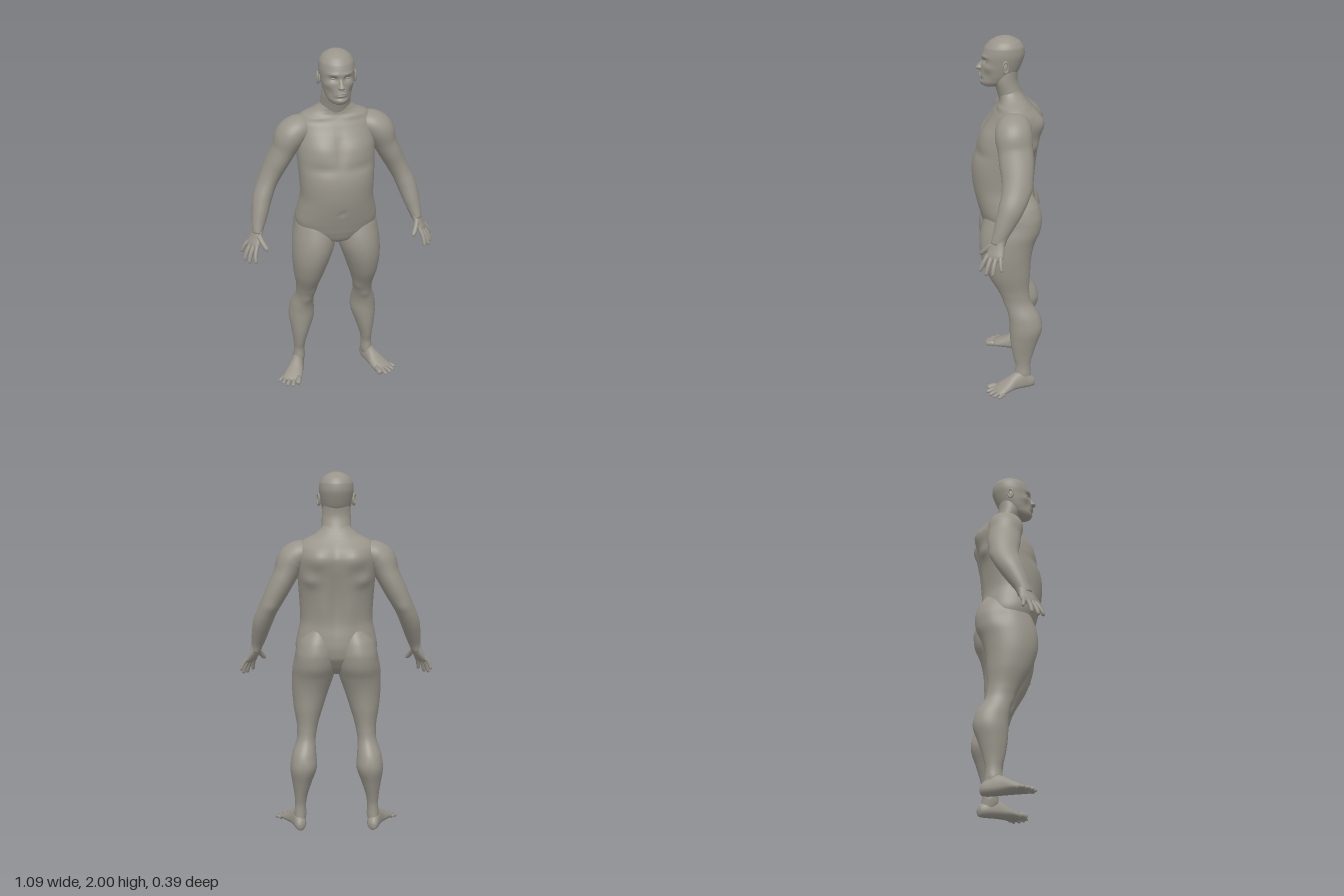
import * as THREE from 'three';

const V = (x, y, z) => new THREE.Vector3(x, y, z);
const UP = V(0, 1, 0), FRONT = V(0, 0, 1);

// Smooth skin through rings [x, y, z, half width, reach along ref, reach against ref].
// With axis set, all rings lie square to it; otherwise they follow the path.
function loft(rings, { axis = null, ref = FRONT, seg = 32, steps = 6, power = 1 } = {}) {
  const path = new THREE.CatmullRomCurve3(rings.map(r => V(r[0], r[1], r[2])));
  const size = new THREE.CatmullRomCurve3(rings.map(r => V(r[3], r[4], r[5] ?? r[4])));
  const rows = (rings.length - 1) * steps, pos = [], idx = [];
  const bend = v => Math.sign(v) * Math.abs(v) ** power;
  for (let j = 0; j <= rows; j++) {
    const c = path.getPoint(j / rows), r = size.getPoint(j / rows);
    const t = axis ? axis.clone().normalize() : path.getTangent(j / rows);
    const f = ref.clone().addScaledVector(t, -ref.dot(t)).normalize();
    const s = f.clone().cross(t);
    for (let i = 0; i < seg; i++) {
      const a = i / seg * Math.PI * 2, si = bend(Math.sin(a));
      const p = c.clone().addScaledVector(s, bend(Math.cos(a)) * r.x).addScaledVector(f, si * (si > 0 ? r.y : r.z));
      pos.push(p.x, p.y, p.z);
      if (j < rows) {
        const k = j * seg + i, n = j * seg + (i + 1) % seg;
        idx.push(k, n, n + seg, k, n + seg, k + seg);
      }
    }
  }
  // end caps
  const a = path.getPoint(0), b = path.getPoint(1), base = pos.length / 3, last = rows * seg;
  pos.push(a.x, a.y, a.z, b.x, b.y, b.z);
  for (let i = 0; i < seg; i++) {
    const n = (i + 1) % seg;
    idx.push(base, n, i, base + 1, last + i, last + n);
  }
  const g = new THREE.BufferGeometry();
  g.setAttribute('position', new THREE.Float32BufferAttribute(pos, 3));
  g.setIndex(idx);
  g.computeVertexNormals();
  return g;
}

// Rings given by height, half width, front z and back z
const upright = (rows, cx = () => 0) => rows.map(([y, rx, zf, zb, x]) => {
  const cz = (zf + zb) / 2;
  return [x ?? cx(y), y, cz, rx, zf - cz, cz - zb];
});

// Swell or hollow the skin along its normals: [x, y, z, rx, ry, rz, amount]
function sculpt(g, bumps, mirrored = true) {
  const p = g.attributes.position, n = g.attributes.normal;
  for (let i = 0; i < p.count; i++) {
    const x = mirrored ? Math.abs(p.getX(i)) : p.getX(i), y = p.getY(i), z = p.getZ(i);
    let d = 0;
    for (const [bx, by, bz, rx, ry, rz, amt] of bumps)
      d += amt * Math.exp(-(((x - bx) / rx) ** 2) - ((y - by) / ry) ** 2 - ((z - bz) / rz) ** 2);
    p.setXYZ(i, p.getX(i) + n.getX(i) * d, y + n.getY(i) * d, z + n.getZ(i) * d);
  }
  g.computeVertexNormals();
  return g;
}

function mirror(g) {
  const m = g.clone().scale(-1, 1, 1), ix = m.index;
  for (let i = 0; i < ix.count; i += 3) {
    const a = ix.getX(i);
    ix.setX(i, ix.getX(i + 1));
    ix.setX(i + 1, a);
  }
  m.computeVertexNormals();
  return m;
}

// Finger or toe with a rounded tip
function digit(a, b, r, lift) {
  const at = t => V(...a).lerp(V(...b), t).addScaledVector(lift, Math.sin(t * Math.PI));
  return loft([[0, 1], [0.35, 0.95], [0.65, 0.92], [0.88, 0.85], [0.97, 0.55], [1, 0.15]]
    .map(([t, k]) => [...at(t).toArray(), r * k, r * k]), { seg: 12, steps: 3, ref: V(0.2, 0.3, 1) });
}

const blob = (x, y, z, sx, sy, sz) => new THREE.SphereGeometry(1, 20, 14).scale(sx, sy, sz).translate(x, y, z);

export function createModel() {
  const model = new THREE.Group();
  const skin = new THREE.MeshStandardMaterial({ color: 0x98948a });
  skin.name = 'skin';
  const add = (name, g) => {
    const m = new THREE.Mesh(g, skin);
    m.name = name;
    model.add(m);
  };
  const pair = (name, g) => {
    add('left' + name, g);
    add('right' + name, mirror(g));
  };

  // Torso with chest, shoulder blades and spine groove
  add('torso', sculpt(loft(upright([
    [0.9, 0.03, 0.06, -0.06], [0.94, 0.13, 0.125, -0.1], [1.0, 0.215, 0.152, -0.14], [1.06, 0.226, 0.168, -0.15],
    [1.12, 0.215, 0.183, -0.146], [1.2, 0.2, 0.198, -0.135], [1.3, 0.204, 0.2, -0.142], [1.4, 0.21, 0.177, -0.158],
    [1.48, 0.215, 0.146, -0.172], [1.55, 0.215, 0.11, -0.175], [1.6, 0.21, 0.082, -0.152], [1.64, 0.18, 0.056, -0.117],
    [1.67, 0.12, 0.05, -0.092], [1.7, 0.085, 0.05, -0.07], [1.74, 0.065, 0.045, -0.045],
  ]), { axis: UP, seg: 72, power: 0.92 }), [
    [0.1, 1.49, 0.14, 0.08, 0.07, 0.1, 0.014], [0.1, 1.385, 0.17, 0.09, 0.025, 0.08, -0.008],
    [0, 1.47, 0.15, 0.02, 0.09, 0.1, -0.008], [0, 1.36, -0.16, 0.03, 0.24, 0.08, -0.018],
    [0.095, 1.55, -0.17, 0.055, 0.06, 0.08, 0.022], [0.14, 1.43, -0.14, 0.05, 0.035, 0.06, 0.014],
    [0.1, 1.635, 0.055, 0.07, 0.012, 0.05, 0.007], [0, 1.13, 0.18, 0.012, 0.014, 0.05, -0.008],
    [0.07, 1.25, -0.14, 0.04, 0.12, 0.06, 0.008],
  ]));

  // Neck
  add('neck', loft(upright([
    [1.6, 0.08, 0.03, -0.1], [1.66, 0.082, 0.05, -0.09], [1.72, 0.08, 0.068, -0.062],
    [1.77, 0.078, 0.085, -0.048], [1.83, 0.072, 0.08, -0.05],
  ]), { axis: UP }));

  // Head with brow, eye sockets, cheeks and chin
  add('head', sculpt(loft(upright([
    [1.733, 0.025, 0.13, 0.06], [1.742, 0.047, 0.143, 0.02], [1.76, 0.062, 0.148, -0.01], [1.79, 0.074, 0.148, -0.035],
    [1.82, 0.081, 0.147, -0.055], [1.86, 0.088, 0.143, -0.072], [1.9, 0.093, 0.14, -0.084], [1.94, 0.09, 0.127, -0.082],
    [1.97, 0.073, 0.101, -0.062], [1.99, 0.044, 0.067, -0.028], [1.998, 0.018, 0.038, 0.0], [2.0, 0.004, 0.023, 0.015],
  ]), { axis: UP, seg: 96, steps: 9 }), [
    [0.036, 1.872, 0.13, 0.019, 0.013, 0.04, -0.015], [0.035, 1.896, 0.13, 0.03, 0.009, 0.04, 0.005],
    [0.06, 1.84, 0.1, 0.018, 0.016, 0.04, 0.005], [0.055, 1.795, 0.12, 0.018, 0.025, 0.05, -0.006],
    [0, 1.757, 0.15, 0.025, 0.013, 0.04, 0.005], [0, 1.773, 0.15, 0.03, 0.007, 0.04, -0.005],
    [0, 1.795, 0.15, 0.03, 0.016, 0.04, 0.004],
  ]));
  add('nose', loft([
    [0, 1.885, 0.128, 0.009, 0.008], [0, 1.865, 0.138, 0.01, 0.01], [0, 1.845, 0.149, 0.013, 0.016],
    [0, 1.833, 0.153, 0.019, 0.021], [0, 1.824, 0.15, 0.015, 0.016], [0, 1.82, 0.146, 0.004, 0.004],
  ], { axis: V(0, -1, 0), seg: 24 }));
  add('upperLip', blob(0, 1.799, 0.149, 0.026, 0.005, 0.008));
  add('lowerLip', blob(0, 1.787, 0.148, 0.022, 0.006, 0.008));
  pair('Eye', blob(0.036, 1.872, 0.113, 0.013, 0.008, 0.012));
  const ear = new THREE.TorusGeometry(0.019, 0.0055, 10, 28).scale(0.8, 1.45, 1);
  pair('EarRim', ear.rotateY(Math.PI / 2 + 0.35).translate(0.097, 1.852, 0.018));
  pair('EarBowl', blob(0.09, 1.848, 0.021, 0.009, 0.026, 0.015));

  // Arms from shoulder to wrist
  pair('Arm', sculpt(loft([
    [0.1, 1.575, -0.03, 0.03, 0.04], [0.15, 1.575, -0.028, 0.058, 0.075], [0.2, 1.563, -0.022, 0.075, 0.092],
    [0.242, 1.53, -0.018, 0.081, 0.097], [0.277, 1.455, -0.025, 0.067, 0.088], [0.328, 1.355, -0.036, 0.06, 0.082],
    [0.373, 1.265, -0.026, 0.053, 0.075], [0.405, 1.19, 0.0, 0.053, 0.066], [0.425, 1.115, 0.032, 0.045, 0.053],
    [0.441, 1.05, 0.058, 0.034, 0.04], [0.45, 1.01, 0.07, 0.026, 0.038],
  ]), [
    [0.32, 1.38, 0.05, 0.06, 0.06, 0.04, 0.007], [0.29, 1.44, -0.11, 0.06, 0.07, 0.04, 0.006],
    [0.36, 1.28, -0.1, 0.03, 0.025, 0.04, 0.006],
  ], false));

  // Hands with four fingers and a thumb
  pair('Palm', loft([
    [0.44, 1.06, 0.055, 0.026, 0.032], [0.45, 1.02, 0.068, 0.024, 0.038], [0.463, 0.985, 0.078, 0.021, 0.046],
    [0.476, 0.958, 0.087, 0.018, 0.05], [0.484, 0.942, 0.092, 0.012, 0.044], [0.487, 0.936, 0.094, 0.003, 0.02],
  ], { ref: V(-0.5, 0, 0.85), seg: 28 }));
  const fingers = [
    ['IndexFinger', [0.457, 0.96, 0.12], [0.475, 0.873, 0.165], 0.0125],
    ['MiddleFinger', [0.473, 0.953, 0.103], [0.507, 0.862, 0.135], 0.013],
    ['RingFinger', [0.487, 0.953, 0.08], [0.527, 0.866, 0.1], 0.0125],
    ['LittleFinger', [0.497, 0.962, 0.057], [0.537, 0.895, 0.053], 0.011],
    ['Thumb', [0.447, 1.015, 0.088], [0.405, 0.94, 0.16], 0.015],
  ];
  for (const [name, a, b, r] of fingers) pair(name, digit(a, b, r, V(0.005, 0.004, 0.002)));

  // Legs from ankle up to buttock
  pair('Leg', sculpt(loft(upright([
    [0.03, 0.026, -0.055, -0.125, 0.207], [0.08, 0.033, -0.03, -0.122, 0.207], [0.14, 0.031, -0.034, -0.118, 0.205],
    [0.2, 0.037, -0.02, -0.13, 0.202], [0.28, 0.055, -0.006, -0.155, 0.195], [0.38, 0.075, 0.0, -0.187, 0.185],
    [0.45, 0.067, 0.006, -0.17, 0.182], [0.53, 0.053, 0.028, -0.122, 0.17], [0.6, 0.059, 0.062, -0.11, 0.164],
    [0.7, 0.083, 0.12, -0.115, 0.157], [0.8, 0.104, 0.155, -0.122, 0.145], [0.88, 0.117, 0.165, -0.142, 0.131],
    [0.95, 0.121, 0.157, -0.172, 0.122], [1.02, 0.115, 0.135, -0.18, 0.117], [1.09, 0.095, 0.1, -0.162, 0.11],
    [1.15, 0.06, 0.06, -0.125, 0.1], [1.18, 0.02, 0.0, -0.08, 0.1],
  ]), { axis: UP, seg: 44 }), [
    [0.17, 0.52, 0.02, 0.03, 0.03, 0.04, 0.006], [0.125, 0.58, 0.03, 0.03, 0.04, 0.04, 0.006],
    [0.186, 0.37, -0.19, 0.012, 0.06, 0.04, -0.005], [0.207, 0.095, -0.08, 0.06, 0.016, 0.02, 0.004],
    [0.235, 1.0, -0.04, 0.04, 0.05, 0.05, -0.008],
  ], false));

  // Feet turned outward, with toes
  pair('Foot', loft([
    [0.198, 0.035, -0.143, 0.008, 0.01, 0.012], [0.2, 0.035, -0.135, 0.025, 0.028, 0.03],
    [0.205, 0.035, -0.11, 0.035, 0.05, 0.035], [0.216, 0.035, -0.07, 0.038, 0.075, 0.035],
    [0.232, 0.035, -0.025, 0.042, 0.062, 0.034], [0.253, 0.03, 0.02, 0.052, 0.038, 0.029],
    [0.273, 0.022, 0.058, 0.056, 0.024, 0.021], [0.284, 0.018, 0.08, 0.05, 0.014, 0.014],
    [0.287, 0.017, 0.086, 0.02, 0.005, 0.005],
  ], { axis: V(0.42, 0, 0.9), ref: UP }));
  const tips = [[0.25, 0.128, 0.018], [0.283, 0.134, 0.0125], [0.313, 0.12, 0.0115], [0.336, 0.097, 0.011], [0.351, 0.067, 0.0105]];
  tips.forEach(([x, z, r], i) =>
    pair('Toe' + (i + 1), digit([0.237 + i * 0.021, r + 0.005, 0.078 - i * 0.011], [x, r * 0.92, z], r, V(0, 0.005, 0))));

  return model;
}
